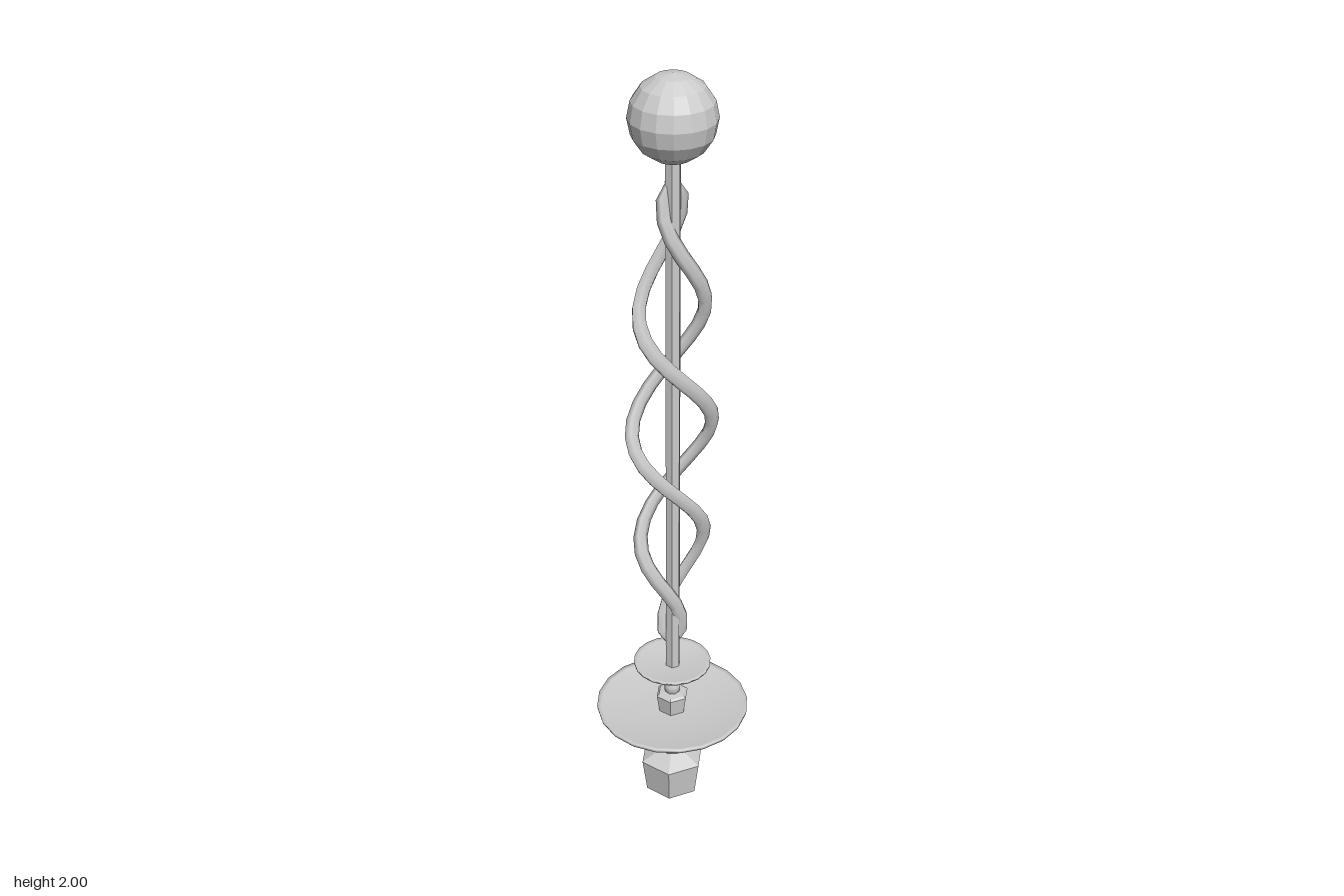
import * as THREE from 'three';

const flat = new THREE.MeshStandardMaterial({ color: 0xcccccc, flatShading: true });
const smooth = new THREE.MeshStandardMaterial({ color: 0xcccccc });

// Turned part from a bottom-up [radius, height] profile; corners sit on the x axis
function turned(name, profile, sides, material) {
  const points = profile.map(([r, y]) => new THREE.Vector2(r, y));
  const mesh = new THREE.Mesh(new THREE.LatheGeometry(points, sides, Math.PI / 2), material);
  mesh.name = name;
  return mesh;
}

// Helix around the rod whose radius swells from zero at both ends
class Twist extends THREE.Curve {
  constructor(sign) {
    super();
    this.sign = sign;
  }
  getPoint(t, target = new THREE.Vector3()) {
    const y = 0.47 + t * 1.28;
    const a = Math.PI * (y - 1.1) / 0.33;
    const r = this.sign * 0.104 * Math.pow(Math.max(0, Math.sin(Math.PI * t)), 0.6);
    return target.set(r * Math.cos(a), y, r * Math.sin(a));
  }
}

// Tube with closed ends, squashed front to back
function strand(name, sign) {
  const group = new THREE.Group();
  group.name = name;
  const curve = new Twist(sign);
  const radius = 0.019;
  group.add(new THREE.Mesh(new THREE.TubeGeometry(curve, 32, radius, 6, false), smooth));
  for (const t of [0, 1]) {
    const cap = new THREE.Mesh(new THREE.SphereGeometry(radius, 6, 4), smooth);
    cap.position.copy(curve.getPoint(t));
    group.add(cap);
  }
  group.scale.z = 0.4;
  return group;
}

export function createModel() {
  const model = new THREE.Group();
  model.name = 'twistedStaff';

  // Six-sided foot
  model.add(turned('foot', [[0, 0], [0.074, 0], [0.087, 0.095], [0.078, 0.1], [0.035, 0.122], [0, 0.122]], 6, flat));

  // Bulb above the foot
  model.add(turned('lowerBulb', [
    [0.03, 0.115], [0.041, 0.132], [0.043, 0.15], [0.034, 0.166], [0.022, 0.185], [0.017, 0.205], [0.018, 0.23],
  ], 8, smooth));

  // Large dish
  model.add(turned('largeDish', [
    [0, 0.2], [0.025, 0.21], [0.075, 0.226], [0.13, 0.238], [0.165, 0.25], [0.197, 0.264],
    [0.199, 0.274], [0.188, 0.272], [0.14, 0.263], [0.07, 0.256], [0, 0.255],
  ], 20, smooth));

  // Nut and slim neck between the dishes
  model.add(turned('nut', [[0, 0.25], [0.036, 0.25], [0.044, 0.305], [0.038, 0.31], [0, 0.314]], 6, flat));
  model.add(turned('upperBulb', [
    [0.016, 0.308], [0.022, 0.322], [0.021, 0.334], [0.012, 0.352], [0.009, 0.365], [0.012, 0.385],
  ], 8, smooth));

  // Small dish
  model.add(turned('smallDish', [
    [0, 0.374], [0.02, 0.378], [0.06, 0.387], [0.08, 0.395], [0.099, 0.406],
    [0.1, 0.413], [0.09, 0.411], [0.04, 0.404], [0, 0.403],
  ], 20, smooth));

  // Central rod
  const rod = turned('rod', [[0, 0.395], [0.019, 0.395], [0.019, 1.82], [0, 1.82]], 6, flat);
  rod.position.z = 0.004;
  model.add(rod);

  // Pair of twisting strands
  model.add(strand('leftStrand', 1), strand('rightStrand', -1));

  // Ball finial
  const ball = new THREE.Mesh(new THREE.SphereGeometry(0.102, 16, 8), flat);
  ball.name = 'ball';
  ball.position.set(0, 1.898, 0.004);
  model.add(ball);

  return model;
}
